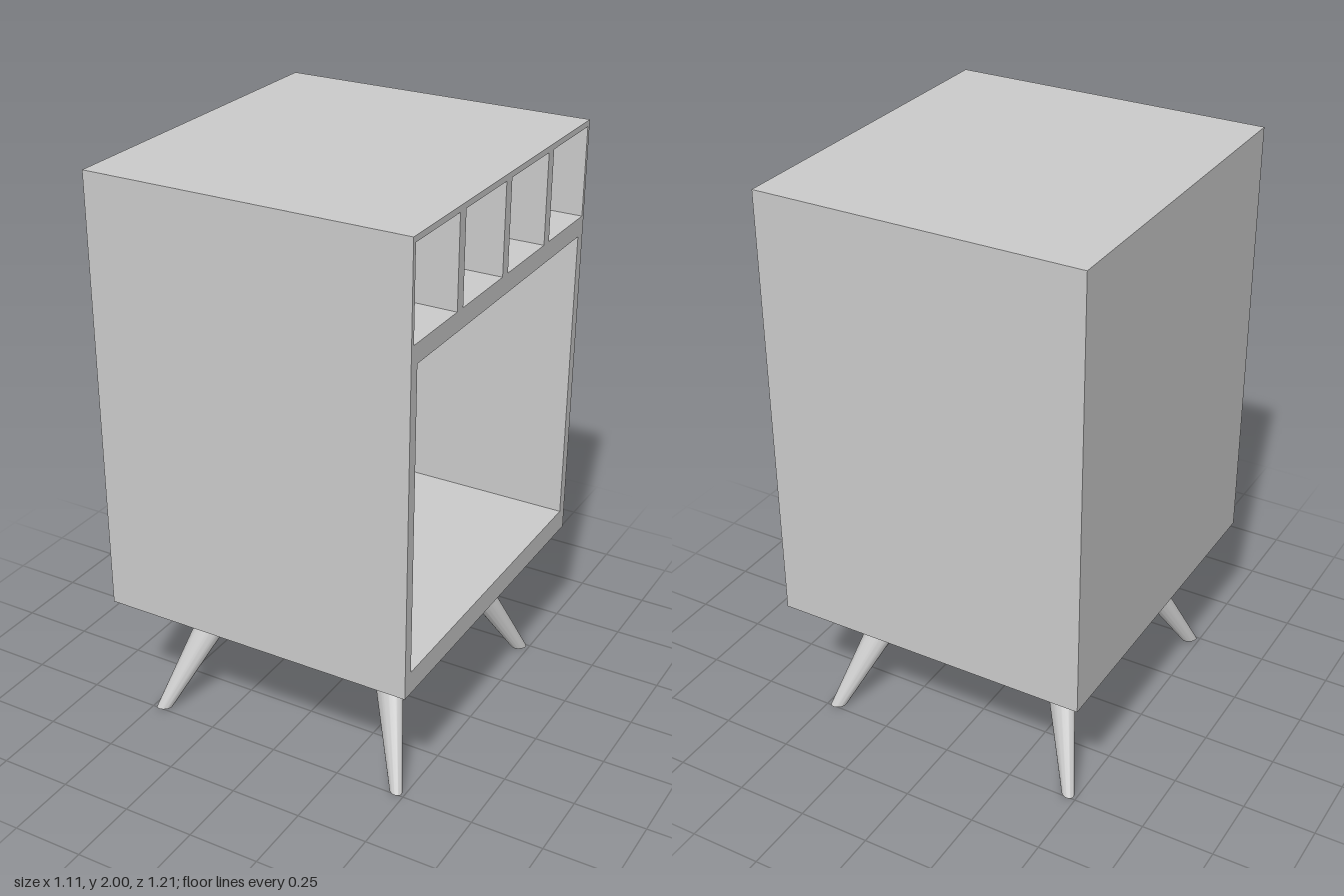
import * as THREE from 'three';
import { toCreasedNormals } from 'three/addons/utils/BufferGeometryUtils.js';

const HALF_X = 0.556, HALF_Z = 0.607, BASE = 0.48, TOP = 2, BACK = 0.04;

function rect(PathType, x0, y0, x1, y1) {
  return new PathType([[x0, y0], [x1, y0], [x1, y1], [x0, y1]].map(([x, y]) => new THREE.Vector2(x, y)));
}

// Carcass: outline with one large opening and four small ones, extruded along x
function carcassGeometry() {
  const outline = rect(THREE.Shape, -HALF_Z, BASE, HALF_Z, TOP);
  outline.holes.push(rect(THREE.Path, -0.57, 0.56, 0.57, 1.61));
  for (let i = 0; i < 4; i++) {
    const c = (i - 1.5) * 0.306;
    outline.holes.push(rect(THREE.Path, c - 0.134, 1.675, c + 0.134, 1.98));
  }
  const geo = new THREE.ExtrudeGeometry(outline, { depth: 2 * HALF_X - BACK, bevelEnabled: false });
  geo.rotateY(Math.PI / 2);
  geo.translate(-HALF_X + BACK, 0, 0);
  return geo;
}

// Splayed leg: a cylinder sheared outward, tapering from a wide oval to a small foot
function legGeometry(sx, sz) {
  const geo = new THREE.CylinderGeometry(1, 1, 1, 32);
  const p = geo.attributes.position;
  const mix = THREE.MathUtils.lerp;
  for (let i = 0; i < p.count; i++) {
    const x = p.getX(i), z = p.getZ(i), t = p.getY(i) + 0.5;
    p.setXYZ(i,
      sx * mix(0.464, 0.284, t) + x * mix(0.025, 0.074, t),
      t * BASE,
      sz * mix(0.481, 0.241, t) + (z * 0.954 + sx * sz * x * 0.3) * mix(0.024, 0.049, t));
  }
  return toCreasedNormals(geo, Math.PI / 4);
}

export function createModel() {
  const model = new THREE.Group();
  model.name = 'cabinet';
  const material = new THREE.MeshStandardMaterial({ color: 0xcccccc });
  const add = (name, geo) => {
    const mesh = new THREE.Mesh(geo, material);
    mesh.name = name;
    model.add(mesh);
    return mesh;
  };

  add('carcass', carcassGeometry());

  // Closed panel behind the openings
  add('backPanel', new THREE.BoxGeometry(BACK, TOP - BASE, 2 * HALF_Z))
    .position.set(-HALF_X + BACK / 2, (TOP + BASE) / 2, 0);

  // Four mirrored legs
  for (const sx of [1, -1]) {
    for (const sz of [1, -1]) {
      add((sz > 0 ? 'front' : 'rear') + (sx > 0 ? 'Left' : 'Right') + 'Leg', legGeometry(sx, sz));
    }
  }
  return model;
}
